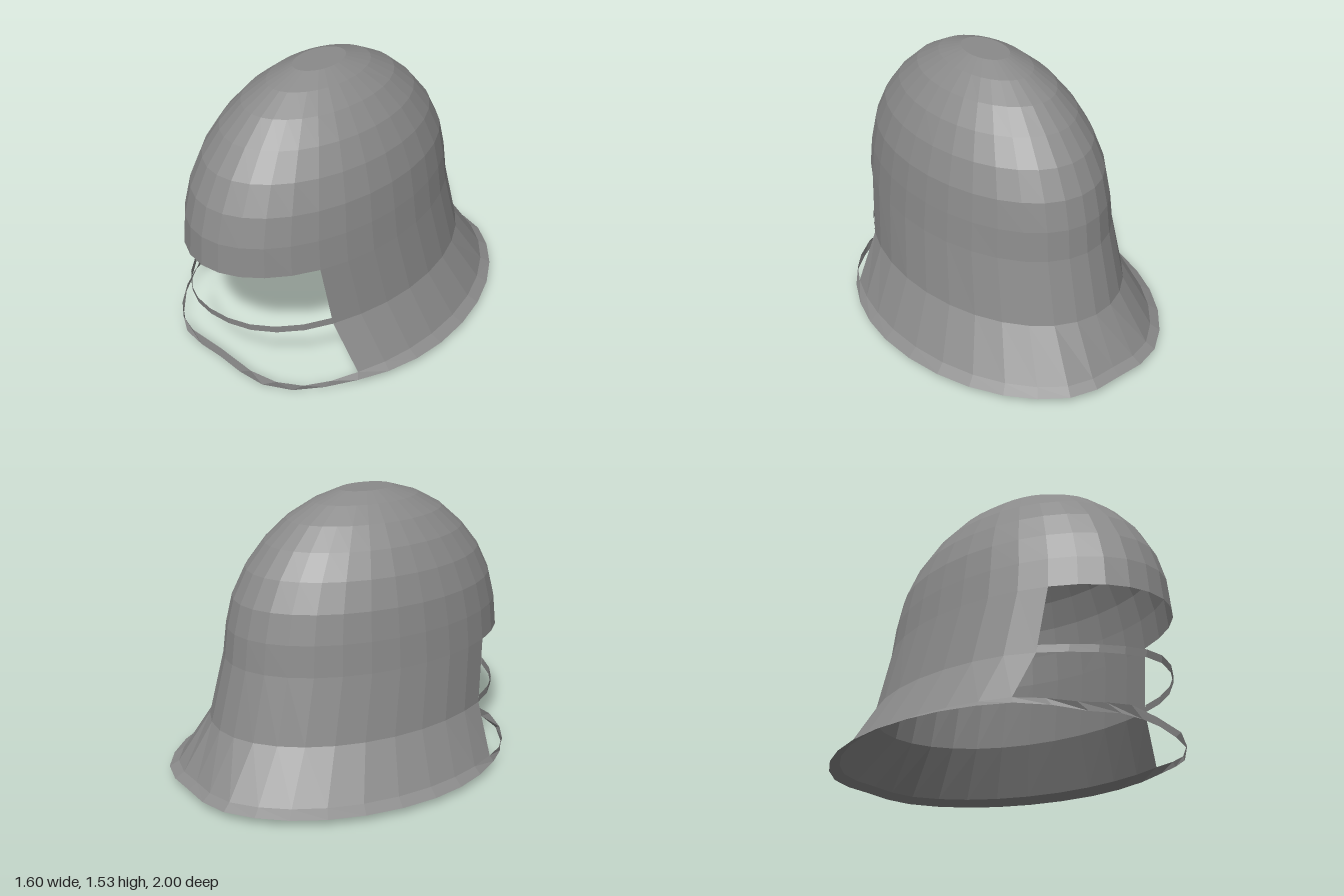
import * as THREE from 'three';

const N = 32;      // segments around, index 0 faces the front
const CUT = 5;     // the face opening spans segments -CUT..CUT

// Distance in segments from the front centre (0..16)
const fromFront = (i) => Math.min(((i % N) + N) % N, N - (((i % N) + N) % N));

// Elliptical ring of points: half width, front z, back z
function ring(y, rx, zf, zb) {
  const c = (zf + zb) / 2, r = (zf - zb) / 2;
  return Array.from({ length: N }, (_, i) => {
    const a = (i / N) * Math.PI * 2;
    const h = typeof y === 'function' ? y(fromFront(i)) : y;
    return new THREE.Vector3(rx * Math.sin(a), h, c + r * Math.cos(a));
  });
}

// Rim ring: separate front and back lengths, blunt ends, fuller front corners
function rimRing(y, rx, c, front, back, zMax, zMin, power) {
  return Array.from({ length: N }, (_, i) => {
    const a = (i / N) * Math.PI * 2, s = Math.sin(a), k = Math.cos(a);
    const w = k > 0 ? Math.sign(s) * Math.abs(s) ** power : s;
    const z = c + k * (k > 0 ? front : back);
    return new THREE.Vector3(rx * w, y(fromFront(i)), Math.max(zMin, Math.min(zMax, z)));
  });
}

// Strips of quads between successive rings, from segment i0 to i1
function loft(rings, i0, i1, cap = false) {
  const pos = [];
  const put = (...pts) => pts.forEach((p) => pos.push(p.x, p.y, p.z));
  for (let r = 0; r < rings.length - 1; r++) {
    for (let i = i0; i < i1; i++) {
      const j = (i + N) % N, k = (i + 1 + N) % N;
      const A = rings[r], B = rings[r + 1];
      put(A[j], B[j], B[k], A[j], B[k], A[k]);
    }
  }
  if (cap) {
    const top = rings[0];
    const mid = top[0].clone().add(top[N / 2]).multiplyScalar(0.5);
    for (let i = 0; i < N; i++) put(mid, top[i], top[(i + 1) % N]);
  }
  const g = new THREE.BufferGeometry();
  g.setAttribute('position', new THREE.Float32BufferAttribute(pos, 3));
  g.computeVertexNormals();
  return g;
}

export function createModel() {
  const model = new THREE.Group();
  model.name = 'helmet';
  const steel = new THREE.MeshStandardMaterial({ color: 0x8a8a8a, side: THREE.DoubleSide, flatShading: true });
  steel.name = 'grey steel';
  const add = (name, geometry) => {
    const m = new THREE.Mesh(geometry, steel);
    m.name = name;
    model.add(m);
  };

  // Dome: height, half width, front z, back z
  const dome = [
    [1.53, 0.105, 0.31, -0.02],
    [1.48, 0.2, 0.47, -0.18],
    [1.4, 0.3, 0.62, -0.33],
    [1.29, 0.39, 0.75, -0.46],
    [1.16, 0.46, 0.86, -0.57],
    [1.01, 0.51, 0.94, -0.65],
    [0.855, 0.535, 0.985, -0.69],
    [0.69, 0.555, 1.0, -0.71],
  ].map((p) => ring(...p));
  add('dome', loft(dome, 0, N, true));

  // Wavy edge heights across the front, level round the sides, rising at the back
  const wave = (front, side, back) => (d) =>
    d <= CUT ? front[d] : side + (back - side) * Math.max(0, (d - 8) / 8);
  const barTop = wave([0.39, 0.385, 0.375, 0.37, 0.37, 0.375], 0.375, 0.375);
  const barLow = wave([0.35, 0.345, 0.335, 0.33, 0.33, 0.335], 0.34, 0.34);
  const rimTop = wave([0.08, 0.07, 0.05, 0.04, 0.055, 0.07], 0.07, 0.08);
  const rimLow = wave([0.03, 0.02, 0.01, 0, 0.02, 0.035], 0.035, 0.05);

  const waist = ring(barLow, 0.605, 0.965, -0.8);
  const rimInner = rimRing(rimTop, 0.74, 0.04, 0.9, 1.03, 0.92, -0.95, 0.7);
  const rimOuter = rimRing(rimLow, 0.8, 0.03, 0.95, 1.07, 0.93, -1, 1);

  // Neck and cheek guard, open at the face
  add('neckGuard', loft([dome[dome.length - 1], waist, rimInner], CUT, N - CUT));

  // Thin bar across the face
  add('faceBar', loft([ring(barTop, 0.6, 0.97, -0.79), waist], -CUT, CUT));

  // Flared rim all the way round, forming the chin bar in front
  add('rim', loft([rimInner, rimOuter], 0, N));

  return model;
}
